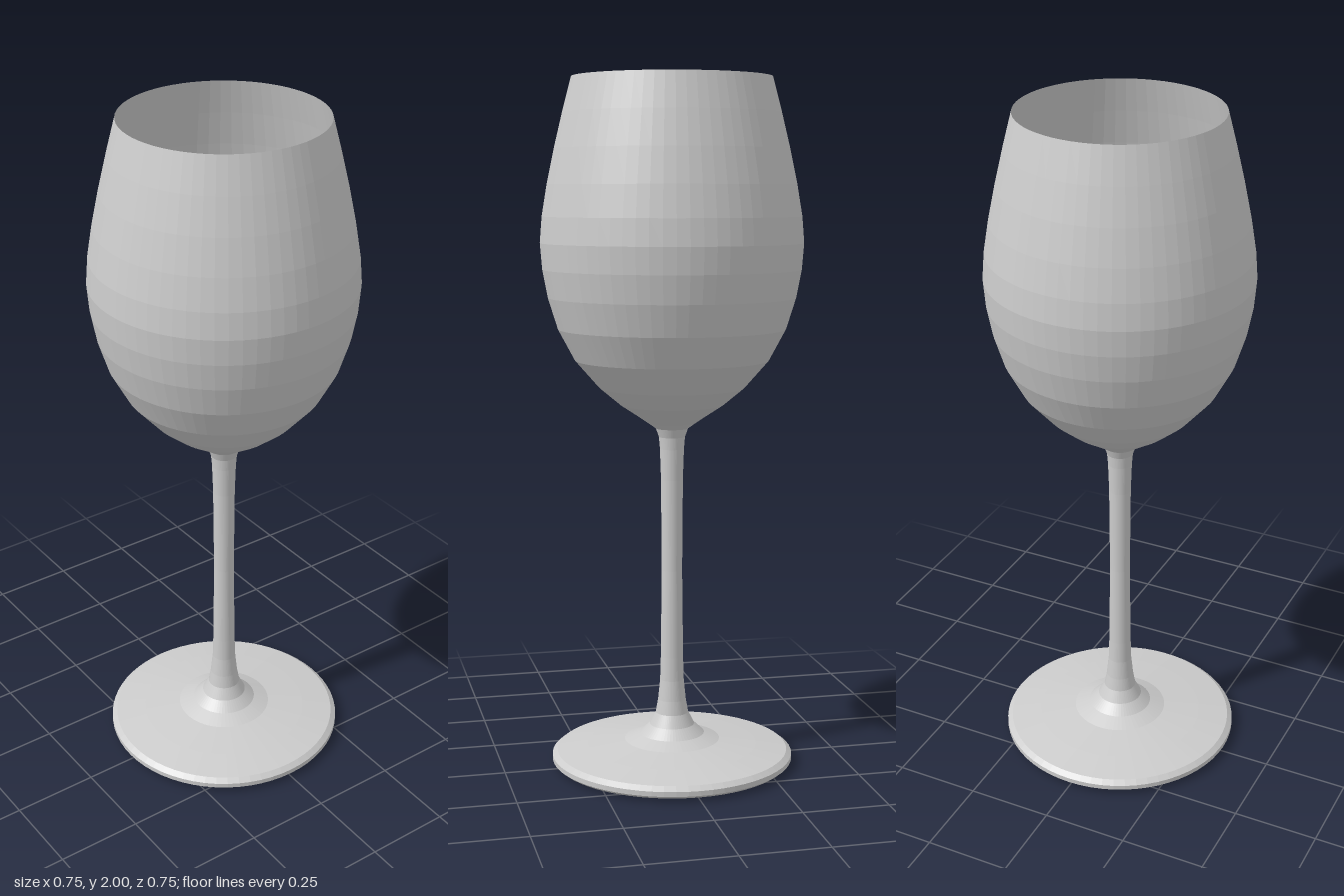
import * as THREE from 'three';

const SEGMENTS = 64;

// Turn a bottom-to-top [radius, height] profile around the y axis
function turned(name, profile, side = THREE.FrontSide) {
  const points = profile.map(([r, y]) => new THREE.Vector2(r, y));
  const material = new THREE.MeshStandardMaterial({ color: 0xcccccc, flatShading: true, side });
  const mesh = new THREE.Mesh(new THREE.LatheGeometry(points, SEGMENTS), material);
  mesh.name = name;
  return mesh;
}

export function createModel() {
  const glass = new THREE.Group();
  glass.name = 'wineGlass';

  // Flat-bottomed foot with a thin rim, sweeping up towards the stem
  glass.add(turned('foot', [
    [0, 0], [0.31, 0], [0.345, 0.008], [0.355, 0.016], [0.355, 0.03], [0.34, 0.042],
    [0.25, 0.056], [0.14, 0.07], [0.095, 0.088], [0.066, 0.115], [0.048, 0.15], [0.041, 0.19],
  ]));

  // Slender stem, flared at both ends, closed by the floor of the bowl
  glass.add(turned('stem', [
    [0.041, 0.19], [0.035, 0.25], [0.033, 0.32], [0.03, 0.58], [0.032, 0.85],
    [0.035, 0.94], [0.038, 0.975], [0.047, 1.0], [0, 1.0],
  ]));

  // Thin open bowl, widest below the middle and narrowing to the rim
  glass.add(turned('bowl', [
    [0.047, 1.0], [0.068, 1.015], [0.1, 1.037], [0.15, 1.07], [0.21, 1.12], [0.28, 1.2],
    [0.328, 1.29], [0.356, 1.38], [0.371, 1.46], [0.377, 1.535], [0.371, 1.61],
    [0.356, 1.7], [0.335, 1.8], [0.311, 1.9], [0.285, 2.0],
  ], THREE.DoubleSide));

  return glass;
}
